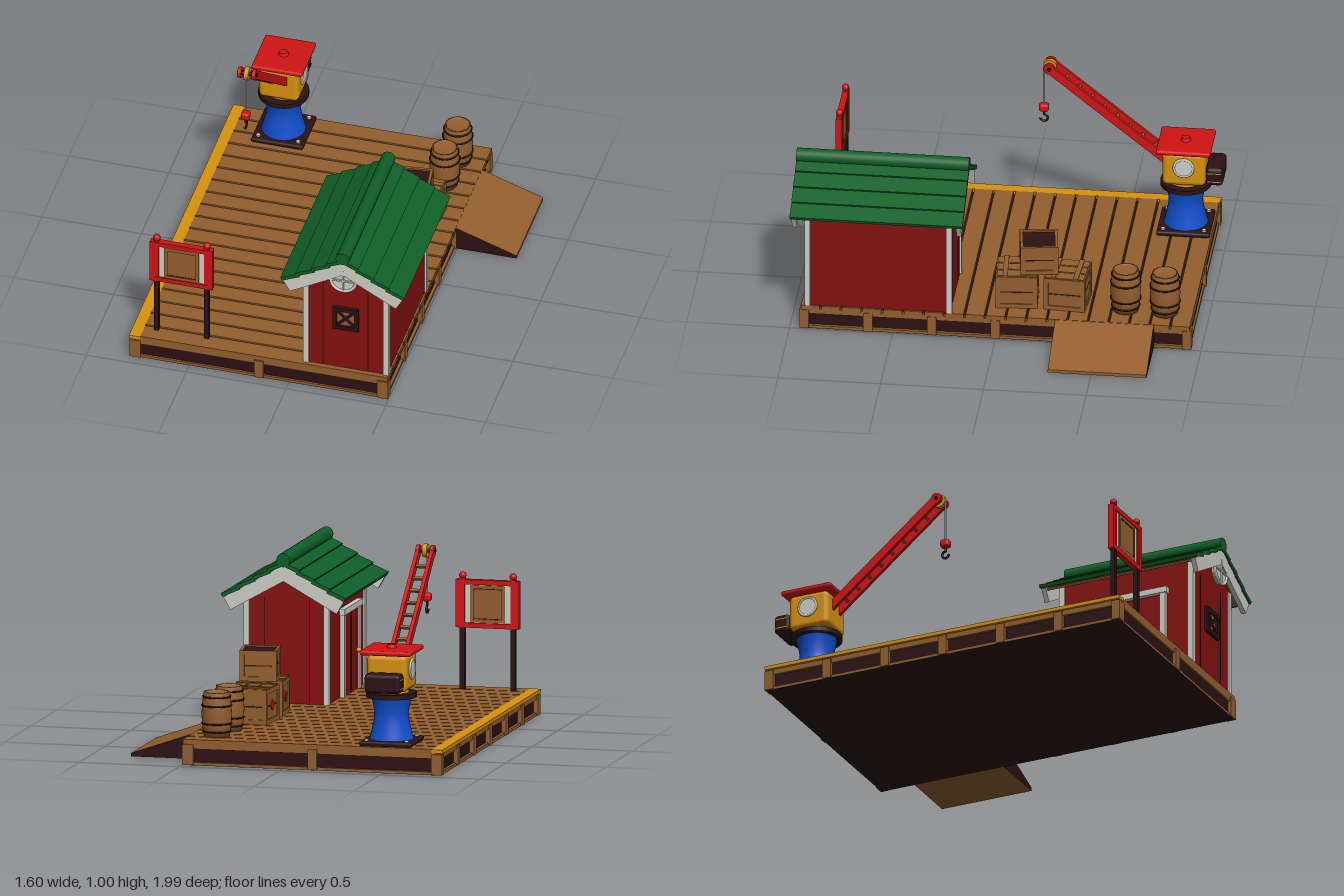
import * as THREE from 'three';
import { RoundedBoxGeometry } from 'three/addons/geometries/RoundedBoxGeometry.js';

const M = {};
for (const [name, color] of Object.entries({
  wood: 0x935f2f, darkTimber: 0x2b1212, barnRed: 0x85100f, brightRed: 0xd01414,
  roofGreen: 0x0f5f27, yellow: 0xd6920f, blue: 0x124fcc, trimWhite: 0xcfcfc7,
})) {
  M[name] = new THREE.MeshStandardMaterial({ color });
  M[name].name = name;
}

function add(parent, name, geo, mat, x = 0, y = 0, z = 0) {
  const m = new THREE.Mesh(geo, mat);
  m.name = name;
  m.position.set(x, y, z);
  parent.add(m);
  return m;
}
const box = (p, name, mat, w, h, d, x, y, z) => add(p, name, new THREE.BoxGeometry(w, h, d), mat, x, y, z);
const cyl = (p, name, mat, r, h, x, y, z, r2 = r) => add(p, name, new THREE.CylinderGeometry(r2, r, h, 24), mat, x, y, z);
const ball = (p, name, mat, r, x, y, z) => add(p, name, new THREE.SphereGeometry(r, 16, 12), mat, x, y, z);
function group(parent, name, x = 0, y = 0, z = 0) {
  const g = new THREE.Group();
  g.name = name;
  g.position.set(x, y, z);
  parent.add(g);
  return g;
}
// Rectangular frame in the XY plane
function frame(p, name, mat, w, h, t, d, x, y, z) {
  for (const s of [-1, 1]) {
    box(p, name, mat, w, t, d, x, y + s * (h - t) / 2, z);
    box(p, name, mat, t, h - 2 * t, d, x + s * (w - t) / 2, y, z);
  }
}
const shapeOf = pts => new THREE.Shape(pts.map(p => new THREE.Vector2(...p)));
const extrude = (pts, depth) => new THREE.ExtrudeGeometry(shapeOf(pts), { depth, bevelEnabled: false });

function buildDeck(root) {
  const g = group(root, 'deck');
  box(g, 'deckCore', M.darkTimber, 1.25, 0.103, 1.87, -0.15, 0.0535, 0);
  for (let i = 0; i < 19; i++) box(g, 'plank', M.wood, 1.24, 0.025, 0.09, -0.125, 0.1135, -0.9 + i * 0.1);
  box(g, 'edgeStripe', M.yellow, 0.055, 0.018, 1.9, -0.7725, 0.117, 0);
  // Rails and posts around the sides
  for (const s of [-1, 1]) {
    for (const [y, h] of [[0.093, 0.026], [0.008, 0.014]]) {
      box(g, 'endRail', M.wood, 1.27, h, 0.02, -0.15, y, s * 0.935);
      box(g, 'sideRail', M.wood, 0.02, h, 1.88, -0.15 + s * 0.63, y, 0);
    }
    for (const x of [-0.765, -0.15, 0.465]) box(g, 'endPost', M.wood, 0.045, 0.1, 0.035, x, 0.052, s * 0.935);
    for (let i = -3; i <= 3; i++) box(g, 'sidePost', M.wood, 0.035, 0.1, 0.045, -0.15 + s * 0.63, 0.052, i * 0.31);
  }
  box(g, 'underside', M.darkTimber, 1.28, 0.004, 1.89, -0.15, 0.002, 0);
  // Loading ramp: dark sides, wooden surfaces
  const ramp = extrude([[0.49, 0.002], [0.8, 0.002], [0.8, 0.018], [0.49, 0.126]], 0.48);
  add(g, 'ramp', ramp, [M.darkTimber, M.wood], 0, 0, -0.77);
}

function buildShed(root) {
  const g = group(root, 'shed', 0.28, 0, 0);
  const hw = 0.205;
  add(g, 'walls', extrude([[-hw, 0.125], [hw, 0.125], [hw, 0.68], [0, 0.795], [-hw, 0.68]], 0.7), M.barnRed, 0, 0, 0.22);
  for (const s of [-1, 1]) for (const z of [0.225, 0.915])
    box(g, 'cornerTrim', M.trimWhite, 0.028, 0.55, 0.028, s * 0.2, 0.4, z);
  for (const x of [-0.115, 0.11]) for (const z of [0.22, 0.92])
    box(g, 'wallSeam', M.darkTimber, 0.005, 0.51, 0.004, x, 0.385, z);
  // Roof slopes with lapped boards, soffit and bargeboards
  for (const s of [-1, 1]) {
    const slope = group(g, 'roofSlope', 0, 0.835, 0.57);
    slope.rotation.z = -s * 0.514;
    box(slope, 'soffit', M.wood, 0.34, 0.014, 0.81, s * 0.17, -0.028, 0);
    for (let i = 0; i < 4; i++) {
      const b = box(slope, 'roofBoard', M.roofGreen, 0.096, 0.018, 0.84, s * (0.045 + i * 0.088), -0.011, 0);
      b.rotation.z = s * 0.1;
    }
    for (const z of [-0.4, 0.4]) box(slope, 'bargeboard', M.trimWhite, 0.355, 0.07, 0.024, s * 0.1775, -0.054, z);
  }
  const ridge = cyl(g, 'ridgeRoll', M.roofGreen, 0.034, 0.84, 0, 0.837, 0.57);
  ridge.rotation.x = Math.PI / 2;
  // Round gable vent
  const vent = cyl(g, 'gableVent', M.trimWhite, 0.064, 0.02, 0, 0.697, 0.965);
  vent.rotation.x = Math.PI / 2;
  add(g, 'ventRing', new THREE.TorusGeometry(0.063, 0.008, 8, 28), M.trimWhite, 0, 0.697, 0.975);
  box(g, 'ventBar', M.trimWhite, 0.12, 0.008, 0.012, 0, 0.697, 0.977);
  box(g, 'ventBar', M.trimWhite, 0.008, 0.12, 0.012, 0, 0.697, 0.977);
  // Front hatch with crossed bars
  box(g, 'hatchPanel', M.wood, 0.12, 0.12, 0.008, 0, 0.43, 0.923);
  frame(g, 'hatchFrame', M.darkTimber, 0.13, 0.13, 0.022, 0.02, 0, 0.43, 0.927);
  for (const s of [-1, 1]) {
    const bar = box(g, 'hatchBar', M.darkTimber, 0.125, 0.015, 0.012, 0, 0.43, 0.926);
    bar.rotation.z = s * Math.PI / 4;
  }
  // Side door facing -x
  const door = group(g, 'door', -hw, 0, 0.62);
  door.rotation.y = -Math.PI / 2;
  box(door, 'doorLeaf', M.barnRed, 0.29, 0.4, 0.012, 0, 0.325, 0.006);
  for (const s of [-1, 1]) box(door, 'doorJamb', M.trimWhite, 0.03, 0.42, 0.024, s * 0.15, 0.335, 0.01);
  box(door, 'doorLintel', M.trimWhite, 0.35, 0.03, 0.03, 0, 0.545, 0.012);
  box(door, 'doorSeam', M.darkTimber, 0.005, 0.4, 0.004, 0, 0.325, 0.013);
  ball(door, 'doorKnob', M.yellow, 0.013, 0.1, 0.32, 0.026);
}

function buildCrane(root) {
  const g = group(root, 'crane', -0.51, 0, -0.81);
  add(g, 'basePlate', new RoundedBoxGeometry(0.26, 0.024, 0.26, 2, 0.01), M.darkTimber, 0, 0.139, 0);
  for (const sx of [-1, 1]) for (const sz of [-1, 1]) cyl(g, 'bolt', M.trimWhite, 0.01, 0.01, sx * 0.1, 0.155, sz * 0.1);
  const profile = [[0.108, 0.15], [0.1, 0.18], [0.086, 0.24], [0.083, 0.28], [0.092, 0.33], [0.1, 0.36]];
  add(g, 'pedestal', new THREE.LatheGeometry(profile.map(p => new THREE.Vector2(...p)), 32), M.blue);
  cyl(g, 'turntable', M.darkTimber, 0.124, 0.024, 0, 0.367, 0);
  cyl(g, 'turntableCollar', M.yellow, 0.085, 0.03, 0, 0.388, 0);
  add(g, 'cab', new RoundedBoxGeometry(0.2, 0.18, 0.21, 3, 0.025), M.yellow, 0, 0.482, 0);
  for (const s of [-1, 1]) {
    const w = cyl(g, 'cabWindow', M.trimWhite, 0.047, 0.009, s * 0.102, 0.495, 0);
    w.rotation.z = Math.PI / 2;
    const ring = add(g, 'windowRing', new THREE.TorusGeometry(0.047, 0.006, 8, 24), M.trimWhite, s * 0.104, 0.495, 0);
    ring.rotation.y = Math.PI / 2;
  }
  add(g, 'cabRoof', new RoundedBoxGeometry(0.255, 0.024, 0.265, 2, 0.01), M.brightRed, 0, 0.583, 0);
  cyl(g, 'roofCap', M.brightRed, 0.026, 0.018, 0, 0.602, 0, 0.02);
  // Ribbed counterweight
  add(g, 'counterweight', new RoundedBoxGeometry(0.18, 0.095, 0.085, 3, 0.02), M.darkTimber, 0, 0.443, -0.147);
  for (const y of [0.42, 0.465]) box(g, 'weightBand', M.yellow, 0.183, 0.005, 0.07, 0, y, -0.147);

  // Ladder boom rising toward the front
  const dy = 0.465, dz = 0.57, len = Math.hypot(dy, dz);
  const boom = group(g, 'boom', 0, 0.5, 0.09);
  boom.rotation.x = -Math.atan2(dy, dz);
  for (const s of [-1, 1]) {
    box(boom, 'boomRail', M.brightRed, 0.018, 0.042, len, s * 0.036, 0, len / 2);
    const end = cyl(boom, 'boomEnd', M.brightRed, 0.027, 0.018, s * 0.036, 0, len);
    end.rotation.z = Math.PI / 2;
  }
  for (let i = 1; i < 9; i++) box(boom, 'boomRung', M.wood, 0.07, 0.014, 0.014, 0, 0, i * len / 9.3);
  const wheel = cyl(boom, 'pulley', M.yellow, 0.033, 0.022, 0, 0, len);
  wheel.rotation.z = Math.PI / 2;
  const axle = cyl(boom, 'pulleyAxle', M.darkTimber, 0.01, 0.1, 0, 0, len);
  axle.rotation.z = Math.PI / 2;
  // Cable, block and hook
  const hz = 0.69;
  cyl(g, 'cable', M.trimWhite, 0.004, 0.21, 0, 0.855, hz);
  add(g, 'hookBlock', new RoundedBoxGeometry(0.042, 0.042, 0.048, 3, 0.014), M.brightRed, 0, 0.733, hz);
  cyl(g, 'hookShank', M.darkTimber, 0.006, 0.025, 0, 0.703, hz);
  const hook = add(g, 'hook', new THREE.TorusGeometry(0.018, 0.006, 8, 20, Math.PI * 1.5), M.darkTimber, 0, 0.675, hz);
  hook.rotation.set(0, Math.PI / 2, Math.PI, 'YXZ');
}

function buildSign(root) {
  const g = group(root, 'signBoard', -0.558, 0, 0.865);
  for (const s of [-1, 1]) {
    box(g, 'signPost', M.darkTimber, 0.024, 0.32, 0.024, s * 0.126, 0.285, 0);
    box(g, 'signPostTop', M.brightRed, 0.024, 0.24, 0.024, s * 0.126, 0.555, 0);
    ball(g, 'postCap', M.brightRed, 0.018, s * 0.126, 0.682, 0);
  }
  frame(g, 'signFrame', M.brightRed, 0.315, 0.235, 0.024, 0.03, 0, 0.545, 0);
  box(g, 'signPanel', M.trimWhite, 0.27, 0.19, 0.014, 0, 0.545, 0);
  // Crate emblem on both faces
  box(g, 'emblemPanel', M.wood, 0.175, 0.182, 0.02, 0, 0.545, 0);
  frame(g, 'emblemLine', M.darkTimber, 0.146, 0.15, 0.004, 0.022, 0, 0.545, 0);
  frame(g, 'emblemBorder', M.wood, 0.175, 0.182, 0.015, 0.026, 0, 0.545, 0);
}

function buildCrate(root, x, y, z, w, h, turn, open) {
  const g = group(root, 'crate', x, y, z);
  g.rotation.y = turn;
  box(g, 'crateCore', open ? M.darkTimber : M.wood, w - 0.02, h - 0.016, w - 0.02, 0, h / 2, 0);
  // Two boards and a frame of battens on each side
  for (let i = 0; i < 4; i++) {
    const side = group(g, 'crateSide');
    side.rotation.y = i * Math.PI / 2;
    const d = w / 2 - 0.006;
    for (const f of [0.28, 0.72]) box(side, 'crateBoard', M.wood, w - 0.02, h * 0.4, 0.01, 0, h * f, d - 0.004);
    box(side, 'boardGap', M.darkTimber, w - 0.03, 0.006, 0.004, 0, h / 2, d - 0.002);
    frame(side, 'crateBatten', M.wood, w, h, 0.022, 0.014, 0, h / 2, d);
  }
  if (!open) {
    box(g, 'lidGap', M.darkTimber, w - 0.02, 0.004, w - 0.02, 0, h - 0.006, 0);
    for (const k of [-1, 0, 1]) box(g, 'lidBoard', M.wood, w / 3 - 0.008, 0.01, w - 0.01, k * w / 3, h, 0);
    for (const k of [-1, 1]) box(g, 'lidBatten', M.wood, w, 0.008, 0.024, 0, h + 0.006, k * (w / 2 - 0.045));
    const mark = box(g, 'crateMark', M.brightRed, 0.008, 0.04, 0.04, -w / 2 + 0.004, h / 2, 0);
    mark.rotation.x = Math.PI / 4;
  }
}

function buildBarrel(root, x, z) {
  const g = group(root, 'barrel', x, 0.126, z);
  const pts = [[0, 0], [0.062, 0], [0.07, 0.05], [0.074, 0.108], [0.07, 0.165], [0.063, 0.218], [0.056, 0.218], [0.056, 0.208], [0, 0.208]];
  add(g, 'barrelBody', new THREE.LatheGeometry(pts.map(p => new THREE.Vector2(...p)), 28), M.wood);
  for (const [y, r] of [[0.025, 0.067], [0.065, 0.072], [0.152, 0.072], [0.195, 0.067]]) {
    const hoop = add(g, 'barrelHoop', new THREE.TorusGeometry(r, 0.0045, 6, 28), M.darkTimber, 0, y, 0);
    hoop.rotation.x = Math.PI / 2;
  }
}

export function createModel() {
  const root = new THREE.Group();
  root.name = 'loadingDock';
  buildDeck(root);
  buildShed(root);
  buildCrane(root);
  buildSign(root);
  buildCrate(root, 0.305, 0.126, -0.33, 0.2, 0.17, -0.06, false);
  buildCrate(root, 0.305, 0.126, -0.085, 0.2, 0.17, 0.07, false);
  buildCrate(root, 0.305, 0.312, -0.19, 0.18, 0.15, 0.14, true);
  buildBarrel(root, 0.362, -0.81);
  buildBarrel(root, 0.35, -0.617);
  return root;
}
